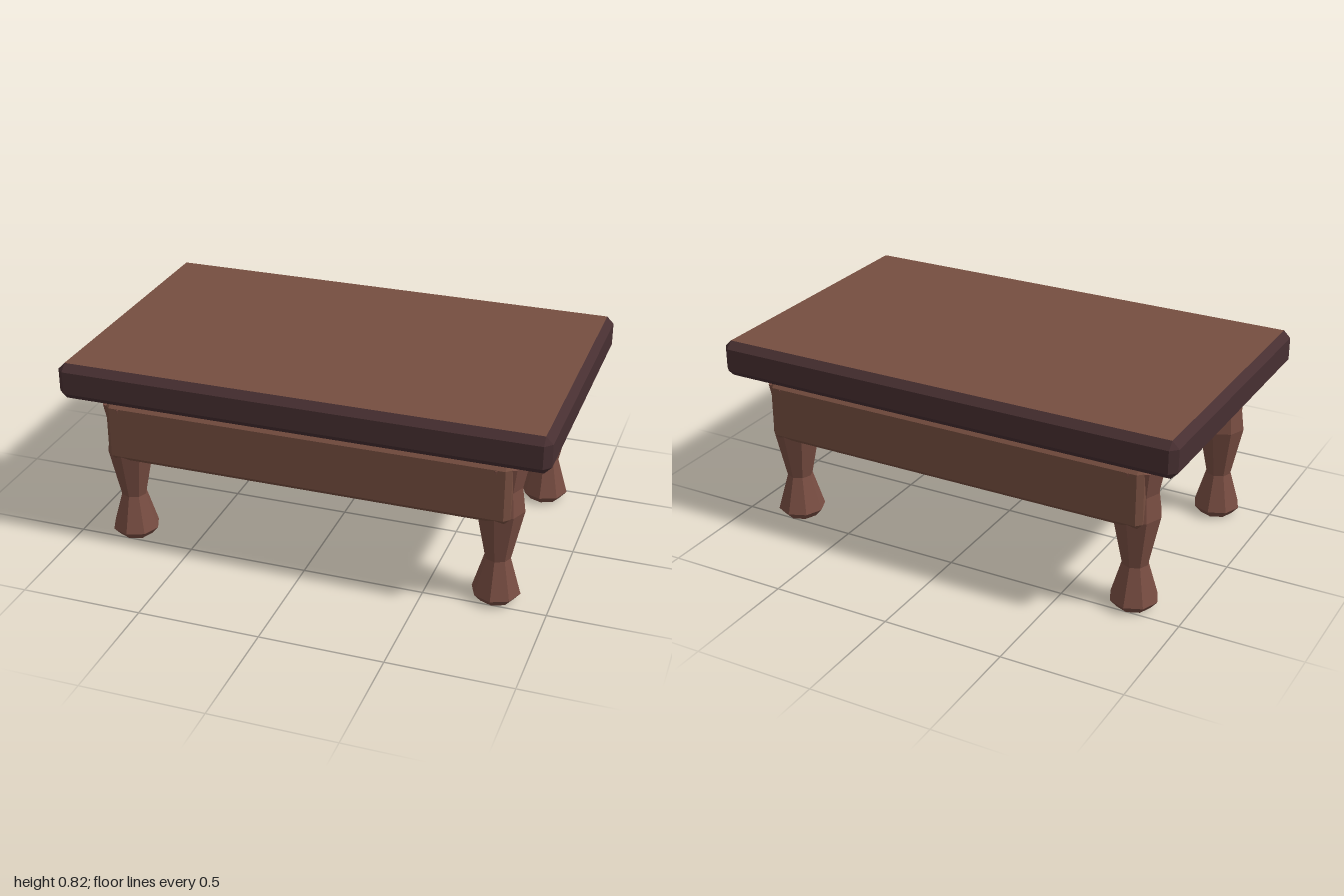
import * as THREE from 'three';
import { ConvexGeometry } from 'three/addons/geometries/ConvexGeometry.js';

// Box with every edge and corner cut at 45 degrees
function chamferedBox(w, h, d, c) {
  const points = [];
  for (const sx of [-1, 1]) for (const sy of [-1, 1]) for (const sz of [-1, 1]) {
    const x = w / 2, y = h / 2, z = d / 2;
    points.push(
      new THREE.Vector3(sx * x, sy * (y - c), sz * (z - c)),
      new THREE.Vector3(sx * (x - c), sy * y, sz * (z - c)),
      new THREE.Vector3(sx * (x - c), sy * (y - c), sz * z)
    );
  }
  return new ConvexGeometry(points);
}

export function createModel() {
  const table = new THREE.Group();
  table.name = 'coffeeTable';

  const material = (name, color) => {
    const m = new THREE.MeshStandardMaterial({ color });
    m.name = name;
    return m;
  };
  const brownWood = material('brownWood', 0x764e40);
  const legWood = material('legWood', 0x784d42);
  const darkWood = material('darkWood', 0x472f31);

  const add = (name, geometry, mat, x, y, z) => {
    const mesh = new THREE.Mesh(geometry, mat);
    mesh.name = name;
    mesh.position.set(x, y, z);
    table.add(mesh);
  };

  // Tabletop: dark rim and underside, brown upper face
  const top = chamferedBox(2, 0.152, 1.23, 0.029);
  const normals = top.attributes.normal;
  for (let i = 0; i < normals.count; i += 3) {
    top.addGroup(i, 3, normals.getY(i) > 0.99 ? 1 : 0);
  }
  add('tabletop', top, [darkWood, brownWood], 0, 0.741, 0);

  // Long apron boards, front and back
  const apron = chamferedBox(1.68, 0.257, 0.135, 0.022);
  add('frontApron', apron, brownWood, 0, 0.511, 0.468);
  add('backApron', apron, brownWood, 0, 0.511, -0.468);

  // Eight-sided turned legs
  const profile = [
    [0, 0], [0.07, 0], [0.099, 0.033], [0.053, 0.188],
    [0.099, 0.405], [0.085, 0.506], [0.107, 0.616], [0, 0.616]
  ].map(([r, y]) => new THREE.Vector2(r, y));
  const leg = new THREE.LatheGeometry(profile, 8).toNonIndexed();
  leg.computeVertexNormals();
  for (const [side, x] of [['Left', 0.781], ['Right', -0.781]]) {
    add('front' + side + 'Leg', leg, legWood, x, 0, 0.432);
    add('back' + side + 'Leg', leg, legWood, x, 0, -0.432);
  }

  return table;
}
